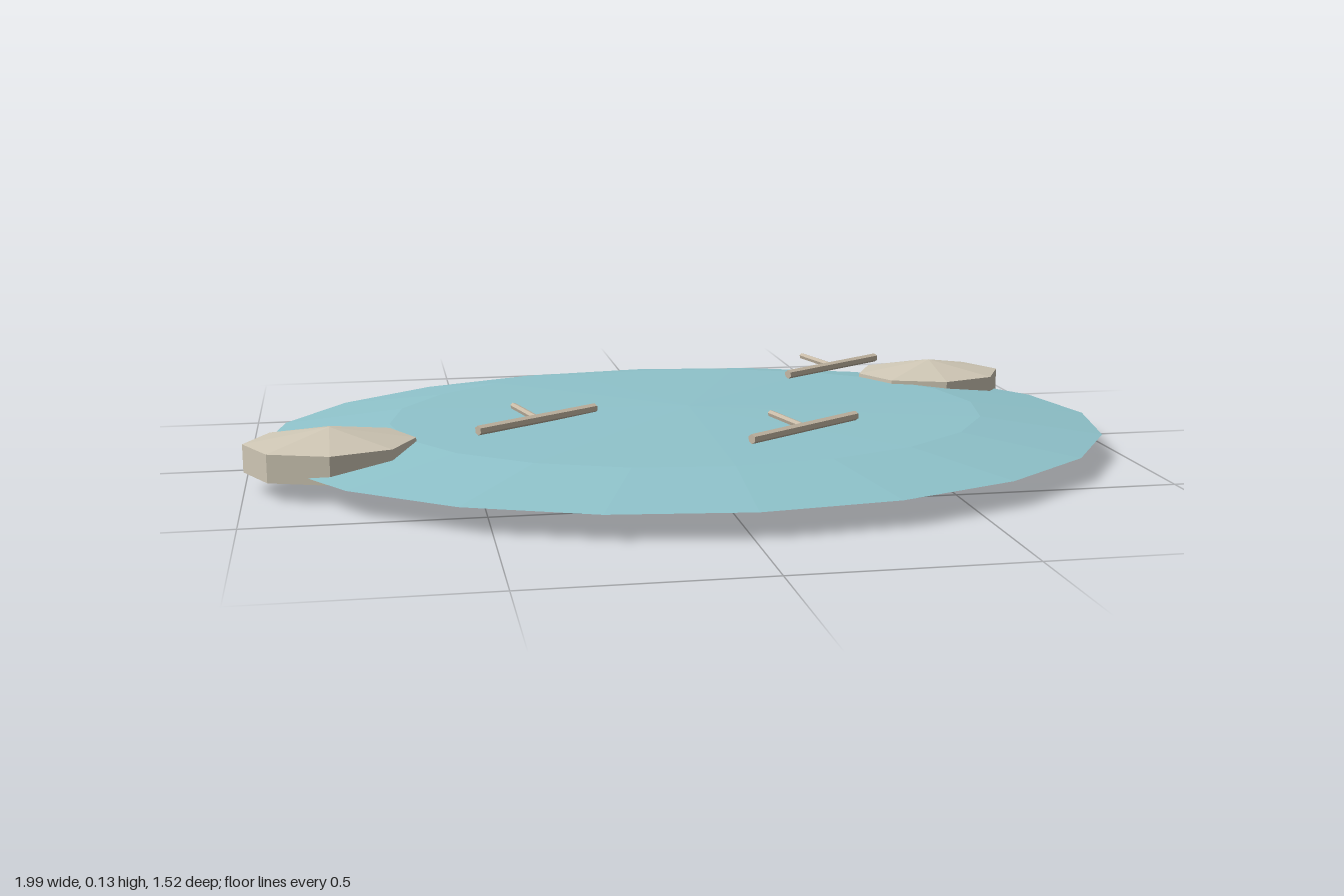
import * as THREE from 'three';

const flat = (name, color) => {
  const m = new THREE.MeshStandardMaterial({ color, flatShading: true });
  m.name = name;
  return m;
};

export function createModel() {
  const group = new THREE.Group();
  group.name = 'pond';
  const water = flat('water blue', 0x8fc3cb);
  const stone = flat('pale stone', 0xcfc7b5);
  const bark = flat('pale bark', 0xc6b9a5);

  const add = (name, geometry, material, x, y, z) => {
    const mesh = new THREE.Mesh(geometry, material);
    mesh.name = name;
    mesh.position.set(x, y, z);
    group.add(mesh);
    return mesh;
  };

  // flattened low-poly pool
  add('pool', new THREE.SphereGeometry(1, 20, 4), water, 0.01, 0.06, 0).scale.set(0.98, 0.055, 0.76);

  // two flat stones on the rim
  const stoneGeo = new THREE.SphereGeometry(1, 8, 3).scale(0.214, 0.062, 0.175);
  [['rightStone', -0.815, 0.19], ['leftStone', 0.71, -0.35]].forEach(([name, x, z]) =>
    add(name, stoneGeo, stone, x, 0.077, z));

  // rod between two points
  const rod = (name, a, b, radius) => {
    const dir = b.clone().sub(a);
    const mid = a.clone().add(b).multiplyScalar(0.5);
    const mesh = add(name, new THREE.CylinderGeometry(radius, radius, dir.length(), 6), bark, mid.x, mid.y, mid.z);
    mesh.quaternion.setFromUnitVectors(new THREE.Vector3(0, 1, 0), dir.normalize());
  };

  // floating twigs, each with one side shoot
  [[-0.353, 0.095], [0.22, 0.285], [0.47, -0.415]].forEach(([x, z], i) => {
    const at = (dx, y, dz) => new THREE.Vector3(x + dx, y, z + dz);
    rod(`twig${i + 1}`, at(-0.142, 0.118, 0.096), at(0.142, 0.118, -0.096), 0.011);
    rod(`twigShoot${i + 1}`, at(0, 0.117, 0), at(-0.041, 0.117, -0.158), 0.008);
  });

  return group;
}
